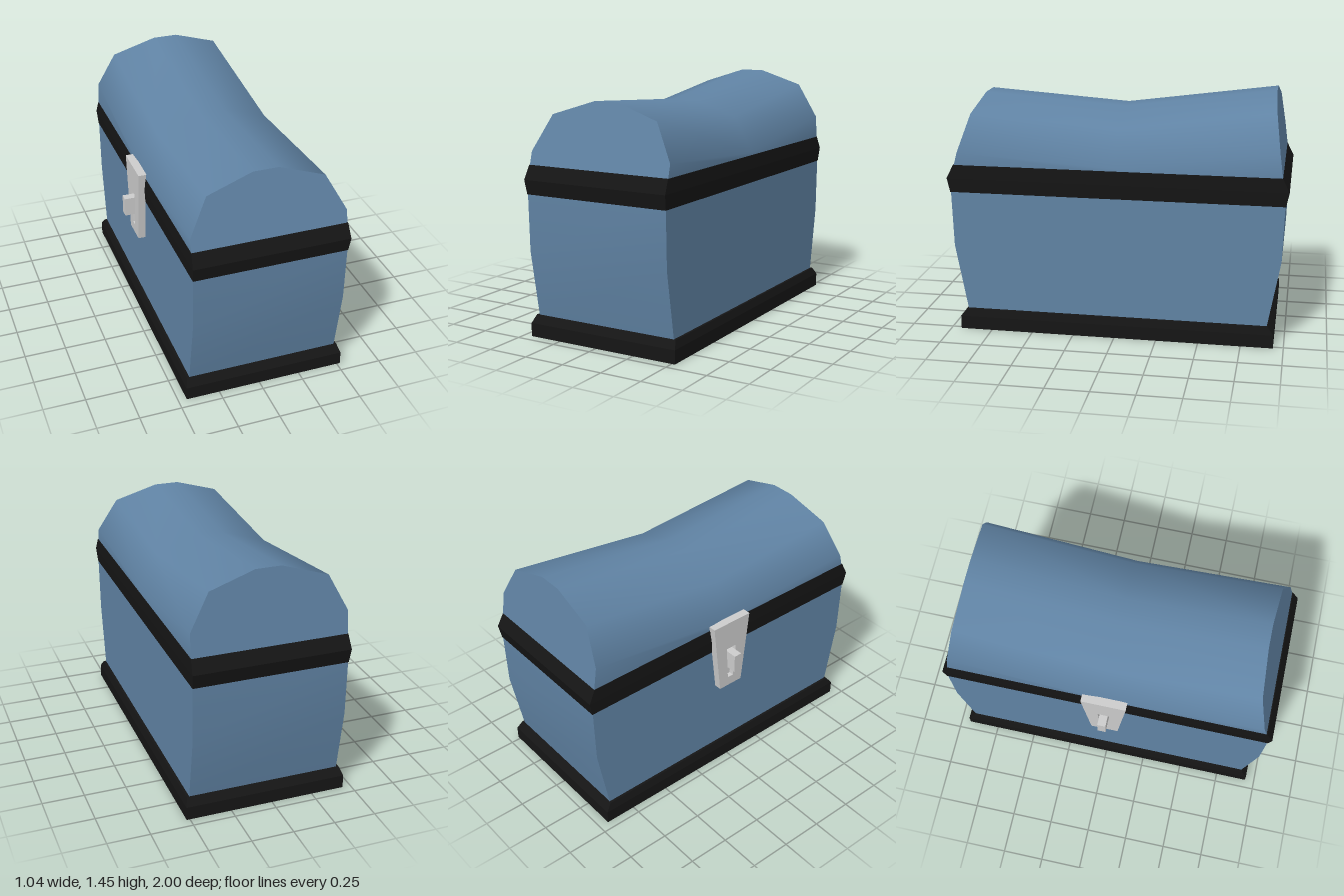
import * as THREE from 'three';
import { toCreasedNormals } from 'three/addons/utils/BufferGeometryUtils.js';

const blue = new THREE.MeshStandardMaterial({ color: 0x6083a4 });
const black = new THREE.MeshStandardMaterial({ color: 0x151515 });
const grey = new THREE.MeshStandardMaterial({ color: 0xcccccc });

// Skin a closed solid through convex rings, ordered counter-clockwise seen from the last ring's side
function loft(rings, crease) {
  const n = rings[0].length;
  const index = [];
  for (let i = 0; i < rings.length - 1; i++) {
    for (let j = 0; j < n; j++) {
      const a = i * n + j, b = i * n + (j + 1) % n;
      index.push(a, b, b + n, a, b + n, a + n);
    }
  }
  const last = (rings.length - 1) * n;
  for (let j = 1; j < n - 1; j++) {
    index.push(0, j + 1, j, last, last + j, last + j + 1);
  }
  const geometry = new THREE.BufferGeometry();
  geometry.setAttribute('position', new THREE.Float32BufferAttribute(rings.flat(2), 3));
  geometry.setIndex(index);
  return toCreasedNormals(geometry, crease);
}

// Horizontal rectangle at height y
const CX = 0.035;
const rect = (y, hx, hz) => [
  [CX + hx, y, hz], [CX + hx, y, -hz], [CX - hx, y, -hz], [CX - hx, y, hz],
];

export function createModel() {
  const chest = new THREE.Group();
  chest.name = 'chest';
  const add = (name, geometry, material, parent = chest) => {
    const mesh = new THREE.Mesh(geometry, material);
    mesh.name = name;
    parent.add(mesh);
    return mesh;
  };

  // Plinth with a bevelled top
  add('base', loft([rect(0, 0.485, 0.94), rect(0.08, 0.485, 0.94), rect(0.125, 0.47, 0.905)], 0.1), black);

  // Body with ends that flare upwards
  add('body', loft([rect(0.1, 0.455, 0.895), rect(0.52, 0.455, 0.97), rect(0.87, 0.455, 0.98)], 0.6), blue);

  // Rims of body and lid, meeting at the seam
  add('bodyRim', loft([rect(0.85, 0.457, 0.983), rect(0.935, 0.463, 1)], 0.1), black);
  add('lidRim', loft([rect(0.935, 0.463, 1), rect(1.015, 0.457, 0.96)], 0.1), black);

  // Sagging barrel lid: three arches, end faces leaning inwards
  const arch = [[0.49, 1.09], [0.375, 1.3], [0.11, 1.385], [-0.04, 1.385], [-0.31, 1.3], [-0.42, 1.09]];
  const lidRing = (rise, zAt) => [
    [0.49, 1], ...arch.map(([x, y]) => [x, y + rise]), [-0.42, 1],
  ].map(([x, y]) => [x, y, zAt(y)]);
  add('lid', loft([
    lidRing(0.062, (y) => -0.96 + (y - 1.015) * 0.138),
    lidRing(-0.06, () => 0),
    lidRing(0, (y) => 0.955 - (y - 1.015) * 0.27),
  ], 0.87), blue);

  // Latch on one long side: tapered plate with a slot, backing and staple
  const latch = new THREE.Group();
  latch.name = 'latch';
  chest.add(latch);
  const outline = (points) => points.map(([z, y]) => new THREE.Vector2(z, y));
  const plate = new THREE.Shape(outline([[-0.085, 0.58], [0.08, 0.58], [0.13, 1.045], [-0.14, 1.045]]));
  plate.holes.push(new THREE.Path(outline([[-0.025, 0.64], [-0.04, 0.86], [0.03, 0.86], [0.015, 0.64]])));
  const plateGeometry = new THREE.ExtrudeGeometry(plate, { depth: 0.05, bevelEnabled: false });
  plateGeometry.rotateY(-Math.PI / 2);
  add('latchPlate', plateGeometry, grey, latch).position.x = -0.415;
  add('slotBacking', new THREE.BoxGeometry(0.02, 0.24, 0.09), grey, latch).position.set(-0.425, 0.75, -0.005);
  add('staple', new THREE.BoxGeometry(0.1, 0.115, 0.05), grey, latch).position.set(-0.475, 0.778, -0.005);

  return chest;
}
